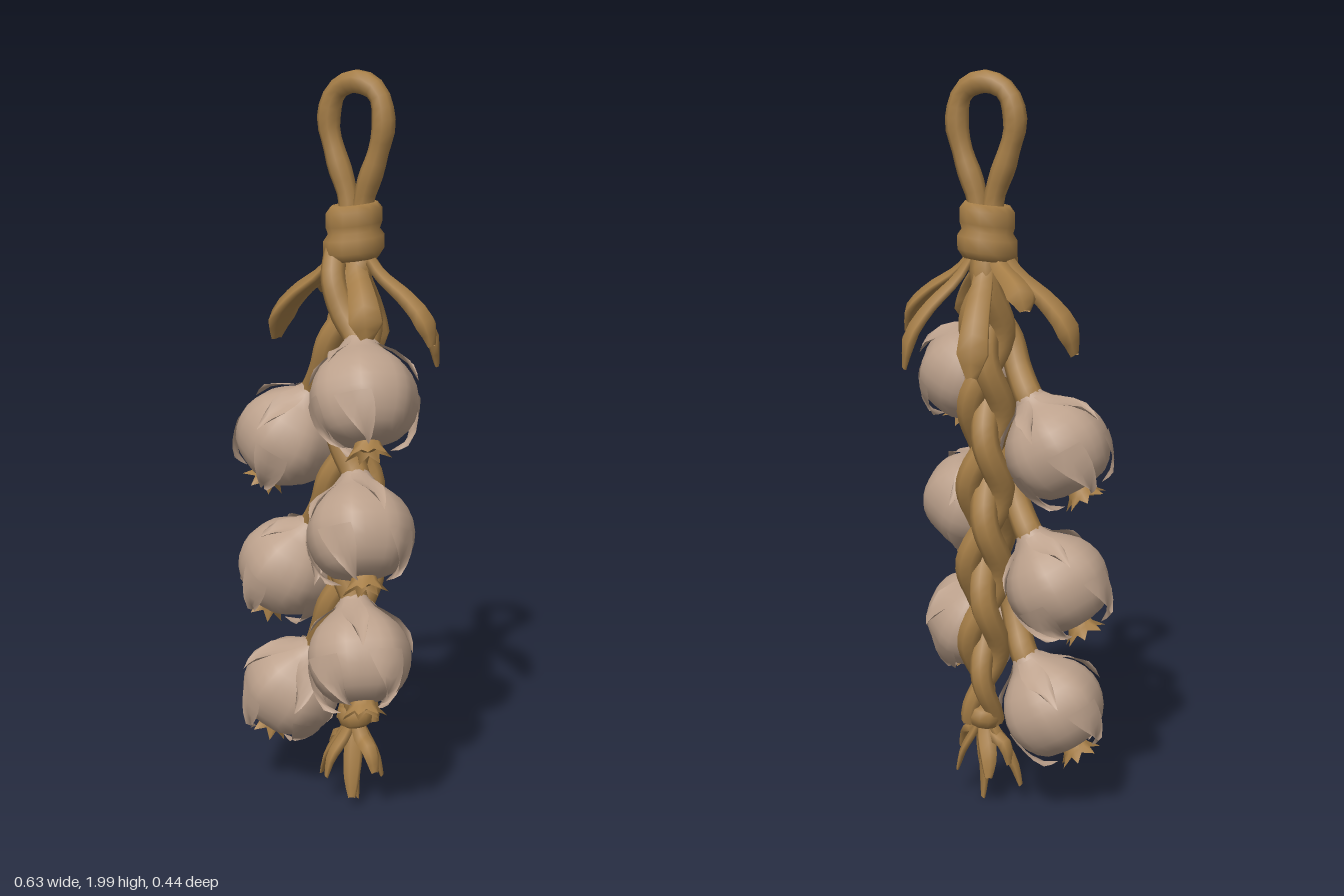
import * as THREE from 'three';
import { mergeVertices } from 'three/addons/utils/BufferGeometryUtils.js';

const V = (x, y, z) => new THREE.Vector3(x, y, z);

export function createModel() {
  const model = new THREE.Group();
  const straw = new THREE.MeshStandardMaterial({ color: 0xa67e47, side: THREE.DoubleSide });
  straw.name = 'dry straw';
  const skin = new THREE.MeshStandardMaterial({ color: 0xbca18c, side: THREE.DoubleSide });
  skin.name = 'papery skin';

  let seed = 7;
  const rand = () => (seed = (seed * 16807) % 2147483647) / 2147483647;

  const add = (parent, name, geometry, material) => {
    const mesh = new THREE.Mesh(geometry, material);
    mesh.name = name;
    parent.add(mesh);
    return mesh;
  };

  // Move every vertex by a rule, weld the seams and recompute smooth normals
  const bend = (geometry, rule) => {
    const pos = geometry.attributes.position, p = V(0, 0, 0);
    for (let i = 0; i < pos.count; i++) {
      rule(p.fromBufferAttribute(pos, i), i);
      pos.setXYZ(i, p.x, p.y, p.z);
    }
    geometry.deleteAttribute('uv');
    geometry.deleteAttribute('normal');
    const out = mergeVertices(geometry, 1e-5);
    out.computeVertexNormals();
    return out;
  };

  // Tube with a radius rule; optionally flattened, keeping its full width along wide
  const sweep = (points, radius, segments, sides, wide) => {
    const curve = new THREE.CatmullRomCurve3(points);
    const centres = curve.getSpacedPoints(segments);
    return bend(new THREE.TubeGeometry(curve, segments, 1, sides), (p, i) => {
      const ring = Math.floor(i / (sides + 1));
      const c = centres[ring], r = radius(ring / segments);
      p.sub(c);
      if (wide) {
        const across = p.dot(wide);
        p.multiplyScalar(0.42).addScaledVector(wide, across * 0.58);
        p.y -= 0.35 * across * across;
      }
      p.multiplyScalar(r).add(c);
    });
  };

  // Three-strand braid, thinner toward the bottom
  for (let k = 0; k < 3; k++) {
    const points = [];
    for (let i = 0; i <= 40; i++) {
      const t = i / 40, a = t * Math.PI * 4 + k * Math.PI * 2 / 3;
      const spread = 0.022 + 0.02 * Math.sin(Math.PI * Math.min(1, t * 0.85 + 0.1));
      points.push(V(0.022 * (1 - t) + spread * Math.sin(a), 0.24 + 1.32 * t,
        -0.022 + 0.03 * Math.sin(2 * a)));
    }
    add(model, 'braidStrand', sweep(points, t => 0.024 + 0.013 * Math.min(1, t * 4), 60, 8), straw);
  }

  // Hanging loop, slightly turned
  const loop = [[-0.02, 1.58], [-0.022, 1.67], [-0.06, 1.79], [-0.078, 1.87], [-0.056, 1.945], [0, 1.97],
    [0.056, 1.945], [0.074, 1.87], [0.058, 1.79], [0.02, 1.67], [0.018, 1.58]];
  add(model, 'hangingLoop', sweep(loop.map(([x, y]) => V(x, y, -0.032 - 0.4 * x)),
    t => 0.029 + 0.002 * Math.sin(t * 40), 32, 8), straw);

  // Binding below the loop: two bulging coils, the upper one tilted
  const coils = [[0.03, 1.528], [0.066, 1.52], [0.08, 1.54], [0.08, 1.575], [0.068, 1.592],
    [0.074, 1.61], [0.074, 1.645], [0.06, 1.663], [0.02, 1.655]].map(([x, y]) => new THREE.Vector2(x, y));
  add(model, 'binding', bend(new THREE.LatheGeometry(coils, 12), p => {
    p.y += 0.08 * p.x - 0.08 * p.z;
    p.z -= 0.024;
  }), straw);

  // Curled leaves fanning out under the binding: tip x, y, z and half width
  const leaves = [[-0.235, 1.29, 0.06, 0.054], [-0.185, 1.41, -0.07, 0.044], [-0.1, 1.24, -0.175, 0.046],
    [0.13, 1.24, -0.2, 0.044], [0.235, 1.32, -0.095, 0.042], [0.145, 1.34, 0.045, 0.05]];
  for (const [x, y, z, w] of leaves) {
    const wide = V(-(z + 0.02), 0, x).normalize();
    const at = (f, h) => V(x * f, h, -0.02 + (z + 0.02) * f);
    const drop = 1.53 - y;
    const points = [at(0.15, 1.55), at(0.35, 1.53 - drop * 0.18), at(0.7, 1.53 - drop * 0.45),
      at(0.92, 1.53 - drop * 0.7), at(1, y)];
    add(model, 'curledLeaf', sweep(points,
      t => w * (t < 0.8 ? 0.5 + 0.62 * t : 1 - (t - 0.8) * 3.2), 10, 6, wide), straw);
  }

  // Knot and frayed tail at the bottom
  const knot = add(model, 'tailKnot', new THREE.TorusGeometry(0.028, 0.023, 8, 12), straw);
  knot.rotation.set(Math.PI / 2, 0.25, 0);
  knot.scale.z = 1.5;
  knot.position.set(0.022, 0.26, -0.015);
  const tails = [[-0.075, 0.065, 0.03], [-0.04, 0.1, -0.06], [0.025, 0.012, -0.02], [0.065, 0.04, 0.03],
    [0.13, 0.13, 0.0], [0.085, 0.09, -0.06], [0.0, 0.09, 0.07], [-0.06, 0.13, 0.0]];
  for (const [x, y, z] of tails) {
    const wide = V(-(z + 0.01), 0, x - 0.022).normalize();
    add(model, 'tailStrand', sweep([V(0.022, 0.27, -0.015),
      V(0.022 + (x - 0.022) * 0.35, 0.21, -0.015 + (z + 0.015) * 0.35),
      V(0.022 + (x - 0.022) * 0.8, y + 0.06, z * 0.8), V(x, y, z)],
    t => 0.018 + 0.018 * Math.sin(t * 2.6) - 0.017 * t, 8, 6, wide), straw);
  }

  // Bulb profile, from root to neck
  const profile = new THREE.SplineCurve([[0.025, -0.122], [0.075, -0.115], [0.115, -0.08], [0.136, -0.03],
    [0.137, 0.02], [0.116, 0.07], [0.08, 0.106], [0.052, 0.13], [0.036, 0.158]]
    .map(([x, y]) => new THREE.Vector2(x, y)));
  const lobes = (a, y) => 1 + (0.025 * Math.cos(7 * a) + 0.018 * Math.cos(4 * a + 1)) * (y < 0.12 ? 1 : 0);

  // Loose flap lying on the bulb, from profile position s0 to s1, lifting toward its tip
  const flap = (angle, s0, s1, width, lift) =>
    bend(new THREE.PlaneGeometry(1, 1, 4, 4), p => {
      const u = p.x * 2, t = 0.5 - p.y;
      const q = profile.getPoint(s0 + (s1 - s0) * t * (1 - 0.25 * Math.abs(u)));
      const a = angle + u * width * (1 - 0.75 * t * t) + 0.25 * t;
      const k = 1.02 + lift * t * t + 0.03 * Math.abs(u) * t;
      const r = q.x * lobes(a, q.y) * k;
      p.set(r * Math.sin(a), q.y * k, r * Math.cos(a));
    });

  const makeBulb = () => {
    const bulb = new THREE.Group();
    bulb.name = 'garlicBulb';
    add(bulb, 'bulbBody', bend(new THREE.LatheGeometry(profile.getPoints(14), 28), p => {
      const k = lobes(Math.atan2(p.x, p.z), p.y);
      p.x *= k;
      p.z *= k;
    }), skin);
    // Torn skin near the neck and around the root
    for (let i = 0; i < 4; i++) {
      const a = i * 1.571 + rand() * 0.7;
      add(bulb, 'neckSkin', flap(a, 0.93, 0.42 + rand() * 0.2, 0.5, 0.05 + rand() * 0.06), skin);
      add(bulb, 'rootSkin', flap(a + 0.7, 0.38 + rand() * 0.06, 0.07, 0.36, 0.1 + rand() * 0.08), skin);
    }
    // Ragged root crown
    add(bulb, 'rootCrown', bend(new THREE.CylinderGeometry(0.03, 0.044, 0.04, 14, 2, true), p => {
      if (p.y < -0.01) {
        const jag = Math.cos(7 * Math.atan2(p.x, p.z));
        p.x *= 1.1 + 0.3 * jag;
        p.z *= 1.1 + 0.3 * jag;
        p.y -= 0.008 * jag;
      }
      p.y -= 0.134;
    }), straw);
    const base = add(bulb, 'rootBase', new THREE.SphereGeometry(0.03, 10, 6), straw);
    base.scale.y = 0.6;
    base.position.y = -0.127;
    return bulb;
  };

  // Bulbs alternate down both sides, each on a stem that curls in and joins the braid
  const bulbs = [[0.165, 1.195], [-0.165, 1.03], [0.152, 0.835], [-0.168, 0.66], [0.147, 0.49], [-0.155, 0.31]];
  bulbs.forEach(([x, y], i) => {
    const side = Math.sign(x), axis = V(-side * 0.45, 0.87, -0.24).normalize();
    const centre = V(x, y, 0.07);
    const bulb = makeBulb();
    bulb.position.copy(centre);
    bulb.quaternion.setFromUnitVectors(V(0, 1, 0), axis)
      .multiply(new THREE.Quaternion().setFromAxisAngle(V(0, 1, 0), i * 1.3));
    model.add(bulb);
    const stem = [centre.clone().addScaledVector(axis, 0.1), centre.clone().addScaledVector(axis, 0.155),
      V(side * 0.045, y + 0.2, 0.045), V(side * 0.01, y + 0.28, 0.05), V(-side * 0.02, y + 0.35, 0.02)];
    add(model, 'bulbStem', sweep(stem, t => 0.04 - 0.009 * t, 14, 8), straw);
  });

  return model;
}
